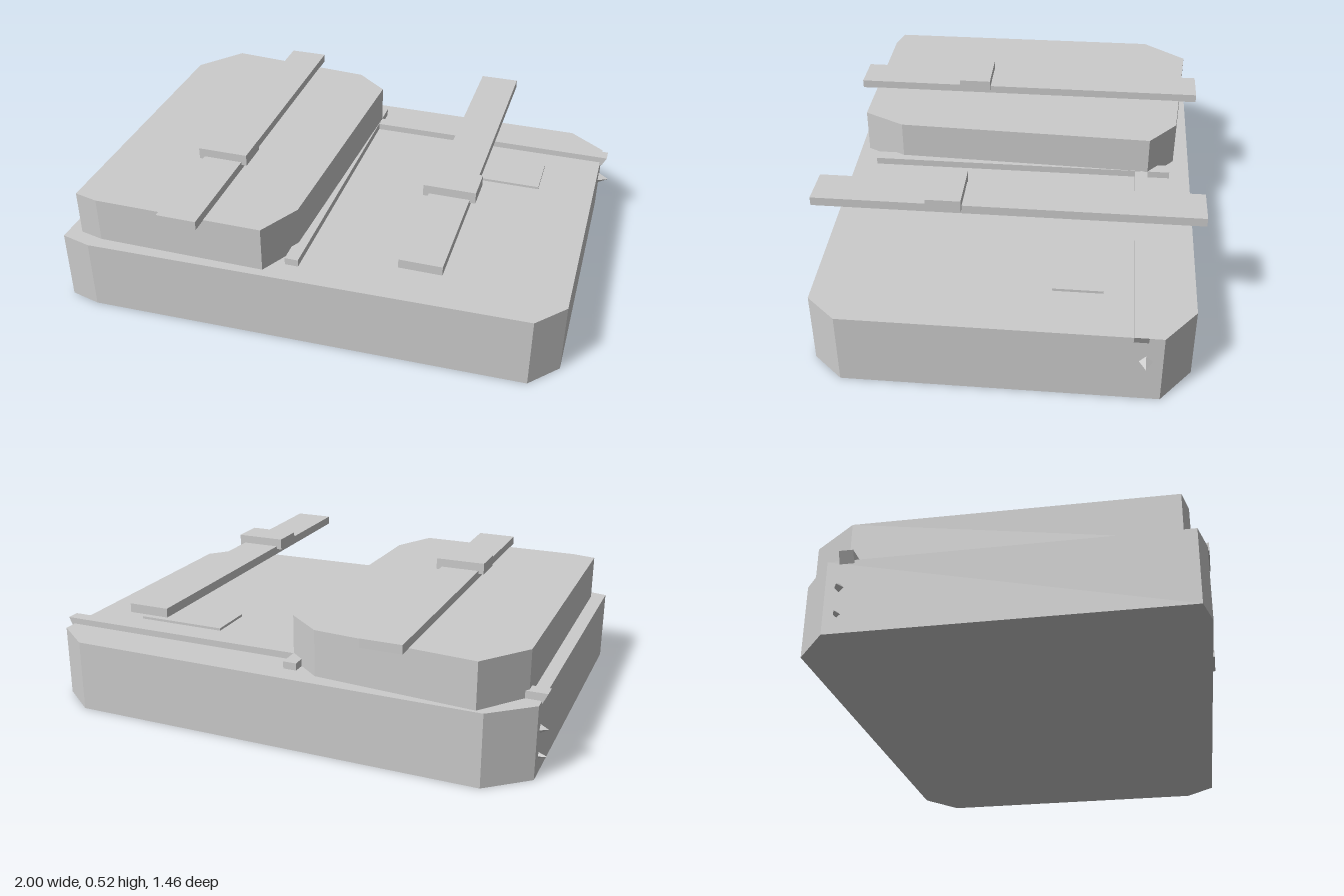
import * as THREE from 'three';

export function createModel() {
  const model = new THREE.Group();
  const grey = new THREE.MeshStandardMaterial({ color: 0xcccccc, flatShading: true });
  grey.name = 'light grey';

  function add(name, geometry) {
    const mesh = new THREE.Mesh(geometry, grey);
    mesh.name = name;
    model.add(mesh);
    return mesh;
  }

  // Flat-topped block from an [x, z] outline between two heights
  function slab(name, outline, y0, y1) {
    const shape = new THREE.Shape(outline.map(([x, z]) => new THREE.Vector2(x, -z)));
    const g = new THREE.ExtrudeGeometry(shape, { depth: y1 - y0, bevelEnabled: false });
    return add(name, g.rotateX(-Math.PI / 2).translate(0, y0, 0));
  }

  // Box given by its limits
  function box(name, x0, x1, y0, y1, z0, z1) {
    const g = new THREE.BoxGeometry(x1 - x0, y1 - y0, z1 - z0);
    return add(name, g.translate((x0 + x1) / 2, (y0 + y1) / 2, (z0 + z1) / 2));
  }

  // Main body with uneven clipped corners
  slab('body', [
    [-0.97, 0.69], [-0.85, 0.72], [0.855, 0.675], [0.957, 0.56],
    [0.957, -0.585], [0.81, -0.7], [-0.815, -0.706], [-0.97, -0.575],
  ], 0.003, 0.283);

  // Raised pocket on the right half
  slab('pocket', [
    [-0.915, 0.645], [-0.82, 0.667], [-0.155, 0.667], [-0.07, 0.5],
    [-0.035, -0.53], [-0.17, -0.64], [-0.785, -0.693], [-0.922, -0.515],
  ], 0.283, 0.46);

  // Pair of long straps with buckles
  for (const x of [-0.457, 0.457]) {
    box('strap', x - 0.078, x + 0.078, 0.458, 0.492, -0.73, 0.73);
    box('buckle', x - 0.1, x + 0.1, 0.48, 0.525, 0.163, 0.295);
  }

  // Cross trim with slanted ends
  const trim = new THREE.Shape([
    new THREE.Vector2(-0.97, 0.27), new THREE.Vector2(0.965, 0.27),
    new THREE.Vector2(0.983, 0.307), new THREE.Vector2(-0.99, 0.312),
  ]);
  add('crossTrim', new THREE.ExtrudeGeometry(trim, { depth: 0.052, bevelEnabled: false })
    .translate(0, 0, -0.53));

  // Trim beside the pocket, and the flat label plate
  box('pocketTrim', -0.087, -0.035, 0.275, 0.311, -0.62, 0.61);
  box('plate', 0.37, 0.735, 0.28, 0.293, -0.37, -0.185);

  // Small side studs pointing outward
  function stud(side, y, radius) {
    const g = new THREE.ConeGeometry(radius, 0.05, 4).rotateZ(-side * Math.PI / 2);
    add('sideStud', g.translate(side * 0.975, y, -0.525));
  }
  stud(1, 0.178, 0.028);
  stud(-1, 0.178, 0.028);
  stud(-1, 0.075, 0.02);

  return model;
}
